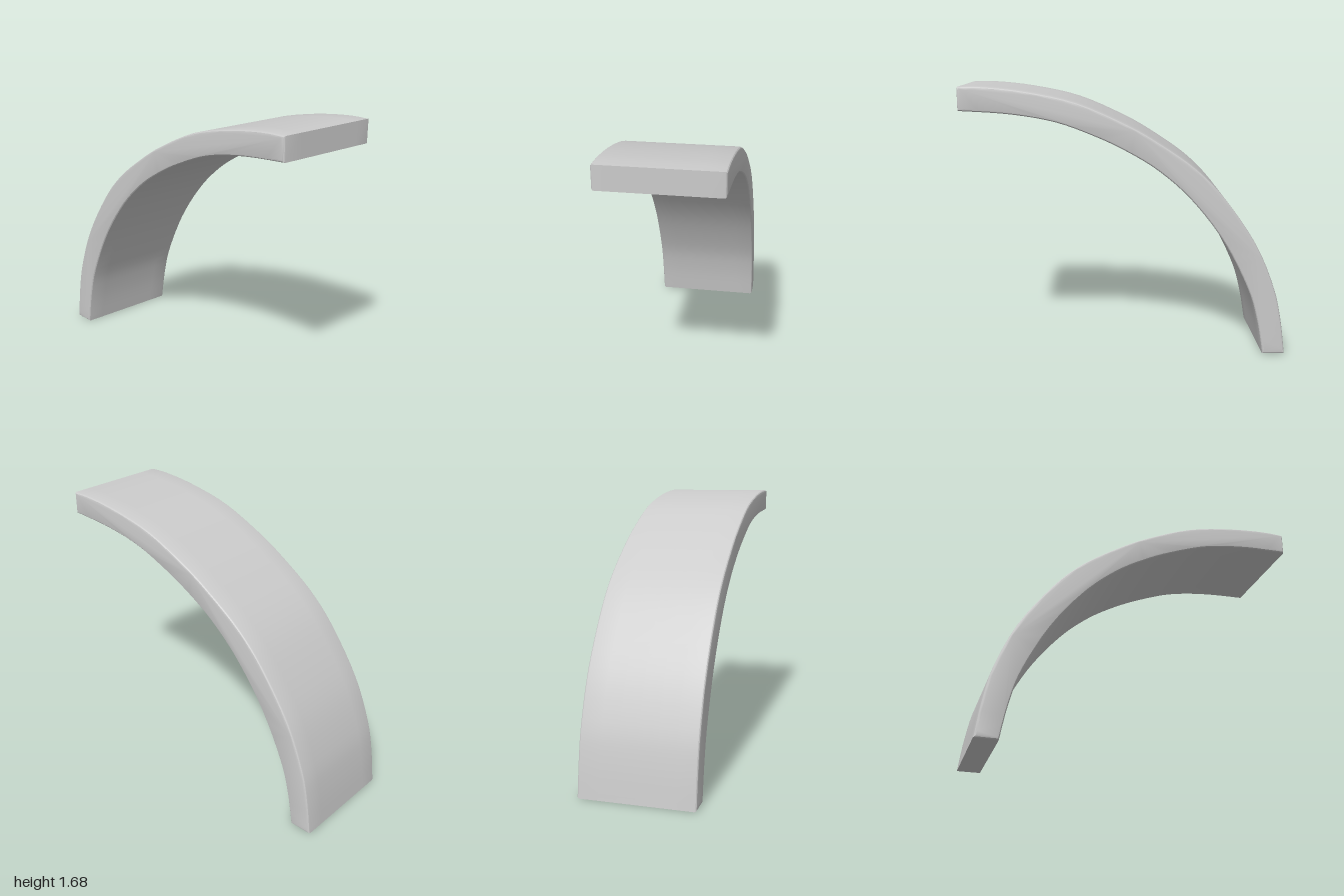
import * as THREE from 'three';
import { toCreasedNormals } from 'three/addons/utils/BufferGeometryUtils.js';

const HALF_DEPTH = 0.35;
const BEVEL = 0.014;

// Smooth run of points through a few profile stations
function smooth(stations, steps) {
  return new THREE.SplineCurve(stations.map(([x, y]) => new THREE.Vector2(x, y))).getPoints(steps);
}

export function createModel() {
  const group = new THREE.Group();
  group.name = 'archSegment';

  // Upper and lower edges of the curved band, from foot to tip
  const outer = smooth([
    [-1, 0], [-0.97, 0.22], [-0.92, 0.43], [-0.8, 0.71], [-0.6, 1.0], [-0.42, 1.185],
    [-0.2, 1.34], [0, 1.455], [0.3, 1.585], [0.6, 1.652], [0.85, 1.68], [1, 1.68],
  ], 44);
  const inner = smooth([
    [-0.86, 0], [-0.82, 0.22], [-0.755, 0.43], [-0.6, 0.73], [-0.4, 0.99], [-0.2, 1.17],
    [0, 1.295], [0.2, 1.39], [0.43, 1.473], [0.7, 1.52], [1, 1.54],
  ], 44);

  // Band extruded across its width, with softly worn long edges
  const shape = new THREE.Shape([...inner, ...outer.reverse()]);
  const geometry = new THREE.ExtrudeGeometry(shape, {
    depth: 2 * (HALF_DEPTH - BEVEL),
    steps: 6,
    bevelEnabled: true,
    bevelThickness: BEVEL,
    bevelSize: BEVEL,
    bevelOffset: -BEVEL,
    bevelSegments: 3,
  });
  geometry.translate(0, 0, -(HALF_DEPTH - BEVEL));

  const band = new THREE.Mesh(
    toCreasedNormals(geometry, 0.4),
    new THREE.MeshStandardMaterial({ color: 0xcccccc }),
  );
  band.name = 'curvedBand';
  group.add(band);
  return group;
}
